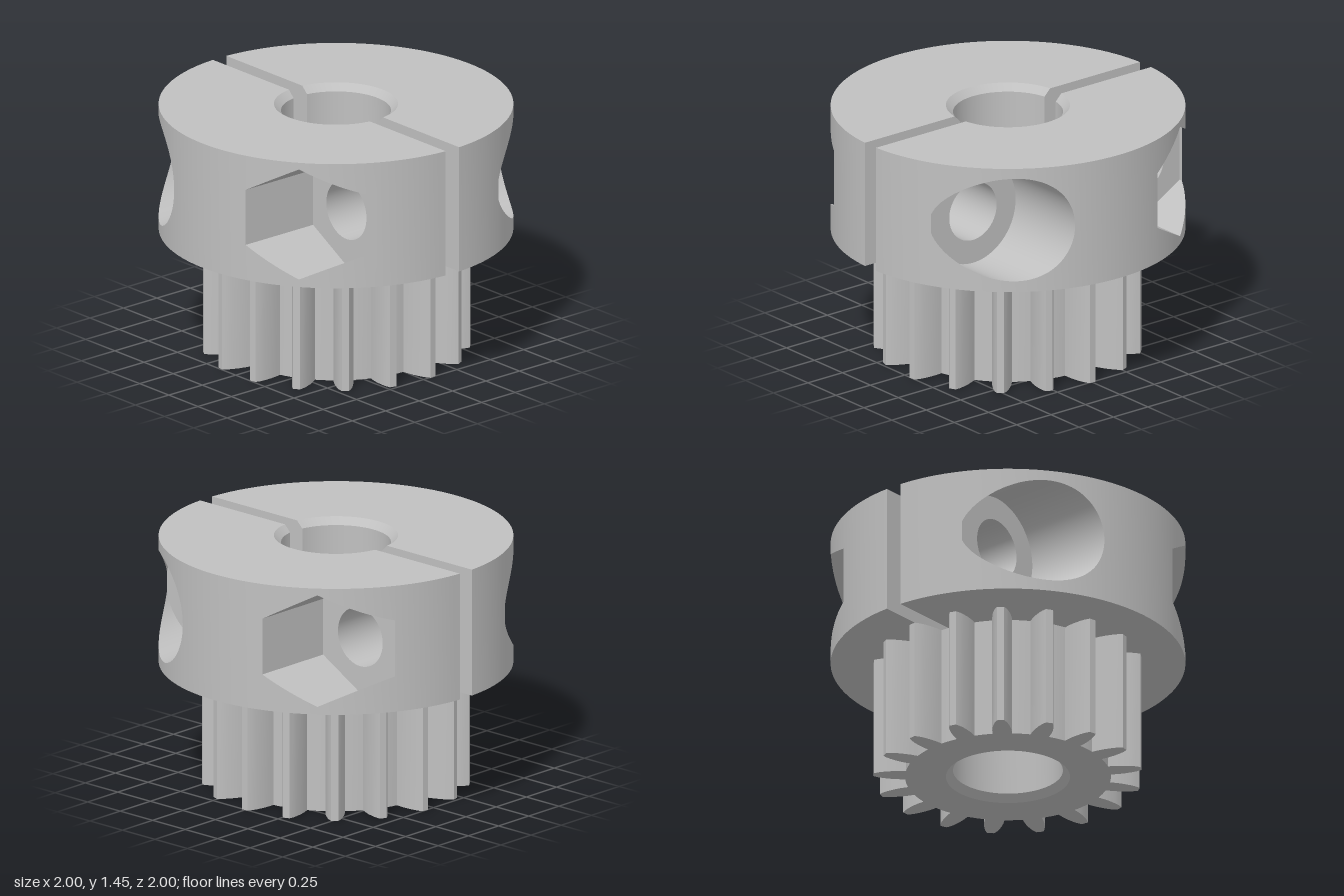
import * as THREE from 'three';
import { toCreasedNormals } from 'three/addons/utils/BufferGeometryUtils.js';

const BASE = 0.705, TOP = 1.45;             // collar height range
const SLIT = 0.05, BORE = 0.31, RIM = 0.35, CHAMFER = 0.04;
const HOLE_Y = 1.08, HOLE_Z = 0.6, BOLT = 0.172;

const steel = new THREE.MeshStandardMaterial({ color: 0xc0c0c0, side: THREE.DoubleSide });
steel.name = 'steel grey';

function add(group, name, geometry) {
  const mesh = new THREE.Mesh(geometry, steel);
  mesh.name = name;
  group.add(mesh);
}

// Surface of quads between pairs of matching point rows
function strips(...pairs) {
  const pos = [];
  for (const [a, b] of pairs)
    for (let i = 0; i < a.length - 1; i++)
      pos.push(...a[i], ...b[i], ...b[i + 1], ...a[i], ...b[i + 1], ...a[i + 1]);
  const g = new THREE.BufferGeometry();
  g.setAttribute('position', new THREE.Float32BufferAttribute(pos, 3));
  return toCreasedNormals(g, 0.5);
}

const toShape = (pts, holes = []) => {
  const v = p => new THREE.Vector2(p[0], p[1]);
  const s = new THREE.Shape(pts.map(v));
  s.holes = holes.map(h => new THREE.Path(h.map(v)));
  return new THREE.ShapeGeometry(s);
};
// Flat plate from (z, y) outlines, facing +x or -x
const plateX = (pts, holes, x, s) => {
  const turn = o => o.map(([z, y]) => [-s * z, y]);
  return toShape(turn(pts), holes.map(turn)).rotateY(s * Math.PI / 2).translate(x, 0, 0);
};
// Flat plate from (x, -z) outlines, facing up or down
const plateY = (pts, holes, y, s) => toShape(
  pts.map(([x, z]) => [x, -s * z]), holes.map(o => o.map(([x, z]) => [x, -s * z]))
).rotateX(-s * Math.PI / 2).translate(0, y, 0);

const circle = (cx, cy, r, n = 64) => Array.from({ length: n }, (_, i) => {
  const a = Math.PI - i * 2 * Math.PI / n;
  return [cx + r * Math.cos(a), cy + r * Math.sin(a)];
});
const closed = pts => [...pts, pts[0]];

// Points of an arc on the +x side of the slit
const arc = (r, n = 48) => Array.from({ length: n + 1 }, (_, i) => {
  const a = (2 * i / n - 1) * Math.acos(SLIT / r);
  return [r * Math.cos(a), r * Math.sin(a)];
});
const outerX = z => Math.sqrt(1 - z * z);

// Evenly spaced columns around the outer wall
const columns = (z0, z1) => {
  const a = Math.asin(z0), b = Math.asin(z1), n = Math.max(1, Math.ceil((b - a) / 0.05));
  return Array.from({ length: n + 1 }, (_, i) => i === n ? z1 : i ? Math.sin(a + (b - a) * i / n) : z0);
};

// Round screw seat and hexagonal nut seat: columns, half height and floor
function seats() {
  const R = 0.31, floor = 0.425, end = outerX(floor);
  const zs = [];
  for (let i = 0; i <= 40; i++) {
    const z = HOLE_Z - R * Math.cos(i * Math.PI / 40);
    if (z < end - 0.001) zs.push(z);
  }
  zs.push(end);
  const screw = {
    name: 'screwSeat', zs, floor, z: HOLE_Z,
    h: z => Math.sqrt(Math.max(0, R * R - (z - HOLE_Z) ** 2))
  };
  const H = 0.33, flat = H * Math.cos(Math.PI / 6);
  const nut = {
    name: 'nutSeat', floor: 0.445, z: -HOLE_Z,
    zs: Array.from({ length: 25 }, (_, i) => -HOLE_Z + flat * (i / 12 - 1)),
    h: z => H - Math.abs(z + HOLE_Z) * Math.tan(Math.PI / 6)
  };
  return [nut, screw];
}

function collarHalf() {
  const g = new THREE.Group();
  g.name = 'collarHalf';
  const [nut, screw] = seats();
  const zEnd = outerX(SLIT), last = a => a[a.length - 1];
  const plain = [
    columns(-zEnd, nut.zs[0]), columns(last(nut.zs), screw.zs[0]), columns(last(screw.zs), zEnd)
  ];
  const row = (zs, y) => zs.map(z => [outerX(z), typeof y === 'function' ? y(z) : y, z]);

  // Outer wall, split above and below each seat
  const wall = plain.map(zs => [row(zs, BASE), row(zs, TOP)]);
  for (const s of [nut, screw]) {
    wall.push([row(s.zs, BASE), row(s.zs, z => HOLE_Y - s.h(z))]);
    wall.push([row(s.zs, z => HOLE_Y + s.h(z)), row(s.zs, TOP)]);
  }
  add(g, 'collarOuterWall', strips(...wall));

  // Seats with their floors and bolt holes
  for (const s of [nut, screw]) {
    const loop = [
      ...s.zs.map(z => [z, HOLE_Y + s.h(z)]),
      ...[...s.zs].reverse().map(z => [z, HOLE_Y - s.h(z)])
    ];
    const ring = closed(loop), bolt = circle(s.z, HOLE_Y, BOLT);
    add(g, s.name + 'Wall', strips([
      ring.map(([z, y]) => [s.floor, y, z]), ring.map(([z, y]) => [outerX(z), y, z])
    ]));
    // Drop repeated corners before filling the floor
    const outline = loop.filter((p, i) => {
      const q = loop[(i + 1) % loop.length];
      return Math.hypot(p[0] - q[0], p[1] - q[1]) > 1e-5;
    });
    add(g, s.name + 'Floor', plateX(outline, [bolt], s.floor, 1));
    add(g, 'boltHole', strips([
      closed(bolt).map(([z, y]) => [SLIT, y, z]), closed(bolt).map(([z, y]) => [s.floor, y, z])
    ]));
  }

  // Flat faces of the slit
  const zb = Math.sqrt(BORE ** 2 - SLIT ** 2), zr = Math.sqrt(RIM ** 2 - SLIT ** 2);
  for (const k of [1, -1]) {
    const face = [[zb, BASE], [zEnd, BASE], [zEnd, TOP], [zr, TOP], [zb, TOP - CHAMFER]];
    add(g, 'slitFace', plateX(face.map(([z, y]) => [k * z, y]),
      [circle(k * HOLE_Z, HOLE_Y, BOLT)], SLIT, -1));
  }

  // Top and bottom faces
  const zs = [...plain[0], ...nut.zs.slice(1), ...plain[1].slice(1),
    ...screw.zs.slice(1), ...plain[2].slice(1)];
  const rim = zs.map(z => [outerX(z), z]);
  add(g, 'collarTop', plateY([...rim, ...arc(RIM).reverse()], [], TOP, 1));
  add(g, 'collarUnderside', plateY([...rim, ...arc(0.56).reverse()], [], BASE, -1));

  // Bore with chamfered mouth
  const ring = (r, y) => arc(r).map(([x, z]) => [x, y, z]);
  const low = ring(BORE, BASE), mid = ring(BORE, TOP - CHAMFER), high = ring(RIM, TOP);
  add(g, 'collarBore', strips([mid, low], [high, mid]));
  return g;
}

function gear() {
  const g = new THREE.Group();
  g.name = 'gear';
  const N = 17, step = 2 * Math.PI / N;
  // Tooth profile as [radius, half width]
  const flank = [[0.58, 0.055], [0.62, 0.055], [0.66, 0.051], [0.7, 0.043], [0.73, 0.034], [0.757, 0.02]];
  const outline = [];
  const put = (r, a) => outline.push([r * Math.cos(a), r * Math.sin(a)]);
  for (let i = 0; i < N; i++) {
    const c = i * step, half = flank[0][1] / flank[0][0];
    flank.forEach(([r, w]) => put(r, c - w / r));
    [...flank].reverse().forEach(([r, w]) => put(r, c + w / r));
    for (let k = 1; k < 4; k++) put(0.58, c + half + (step - 2 * half) * k / 4);
  }
  const loop = closed(outline);
  add(g, 'gearTeeth', strips([
    loop.map(([x, z]) => [x, BASE, z]), loop.map(([x, z]) => [x, 0, z])
  ].reverse().map(r => [...r].reverse())));
  add(g, 'gearBottom', plateY(outline, [circle(0, 0, RIM, 96)], 0, -1));
  add(g, 'gearTop', plateY(outline, [circle(0, 0, BORE, 96)], BASE, 1));
  const profile = [[BORE, BASE], [BORE, CHAMFER], [RIM, 0]].map(p => new THREE.Vector2(...p));
  add(g, 'gearBore', toCreasedNormals(new THREE.LatheGeometry(profile, 96), 0.5));
  return g;
}

export function createModel() {
  const model = new THREE.Group();
  model.name = 'clampingPulley';
  model.add(gear());
  for (const turn of [0, Math.PI]) {
    const half = collarHalf();
    half.rotation.y = turn;
    model.add(half);
  }
  return model;
}
